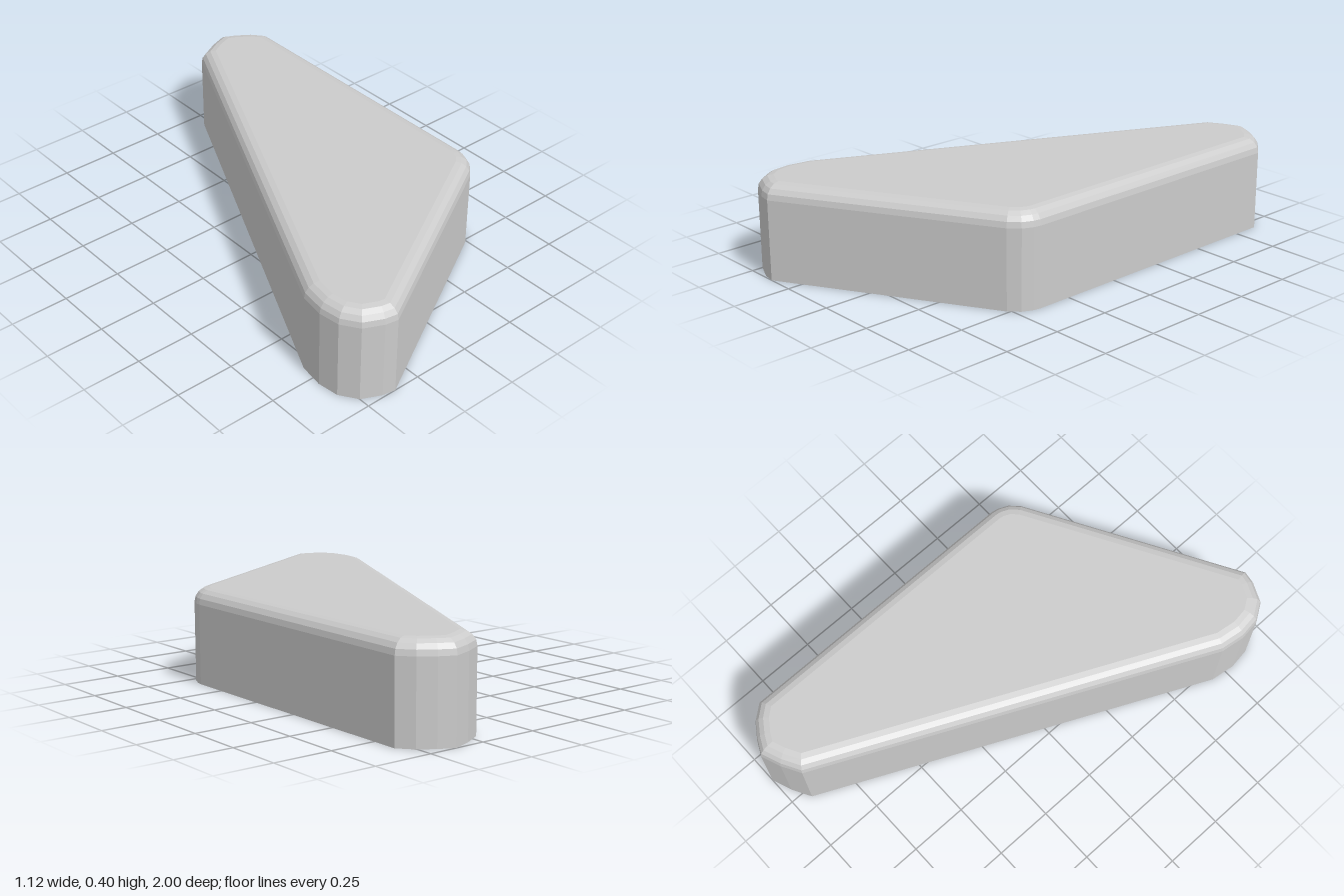
import * as THREE from 'three';

// Outline seen from above as (x, z), counter-clockwise
const OUTLINE = [
  [0.555, 0.40], [0.555, -0.865],
  [0.505, -0.925], [0.442, -0.968], [0.378, -1], [0.294, -0.968], [0.213, -0.923],
  [-0.545, 0.685], [-0.56, 0.79], [-0.548, 0.88], [-0.50, 0.952], [-0.42, 0.99], [-0.365, 1],
  [0.49, 0.515], [0.53, 0.475], [0.55, 0.43],
];
const HEIGHT = 0.4, BEVEL = 0.062, STEPS = 4;

// Move the outline inward by d with mitred corners
function inset(points, d) {
  const n = points.length;
  return points.map((p, i) => {
    const a = points[(i + n - 1) % n], b = points[(i + 1) % n];
    const n1 = new THREE.Vector2(a.y - p.y, p.x - a.x).normalize();
    const n2 = new THREE.Vector2(p.y - b.y, b.x - p.x).normalize();
    return n1.clone().add(n2).multiplyScalar(d / (1 + n1.dot(n2))).add(p);
  });
}

export function createModel() {
  const base = OUTLINE.map(([x, z]) => new THREE.Vector2(x, -z));
  const n = base.length;

  // Rings: floor, then a quarter-round up to the top face
  const rings = [{ points: base, y: 0 }];
  for (let i = 0; i <= STEPS; i++) {
    const t = (i / STEPS) * Math.PI / 2;
    rings.push({
      points: inset(base, BEVEL * (1 - Math.cos(t))),
      y: HEIGHT - BEVEL * (1 - Math.sin(t)),
    });
  }
  const positions = rings.flatMap(({ points, y }) => points.flatMap(p => [p.x, y, -p.y]));

  // Walls and rounded upper edge
  const index = [];
  for (let r = 0; r < rings.length - 1; r++) {
    for (let i = 0; i < n; i++) {
      const j = (i + 1) % n, a = r * n + i, b = r * n + j;
      index.push(a, b, b + n, a, b + n, a + n);
    }
  }
  // Flat top and underside
  const top = (rings.length - 1) * n;
  for (const [a, b, c] of THREE.ShapeUtils.triangulateShape(rings.at(-1).points, []))
    index.push(top + a, top + b, top + c);
  for (const [a, b, c] of THREE.ShapeUtils.triangulateShape(base, []))
    index.push(a, c, b);

  const indexed = new THREE.BufferGeometry();
  indexed.setAttribute('position', new THREE.Float32BufferAttribute(positions, 3));
  indexed.setIndex(index);
  const geometry = indexed.toNonIndexed();
  geometry.computeVertexNormals();

  const slab = new THREE.Mesh(
    geometry,
    new THREE.MeshStandardMaterial({ color: 0xcccccc, flatShading: true }),
  );
  slab.name = 'roundedTriangularSlab';
  const group = new THREE.Group();
  group.name = 'triangularBlock';
  group.add(slab);
  return group;
}
